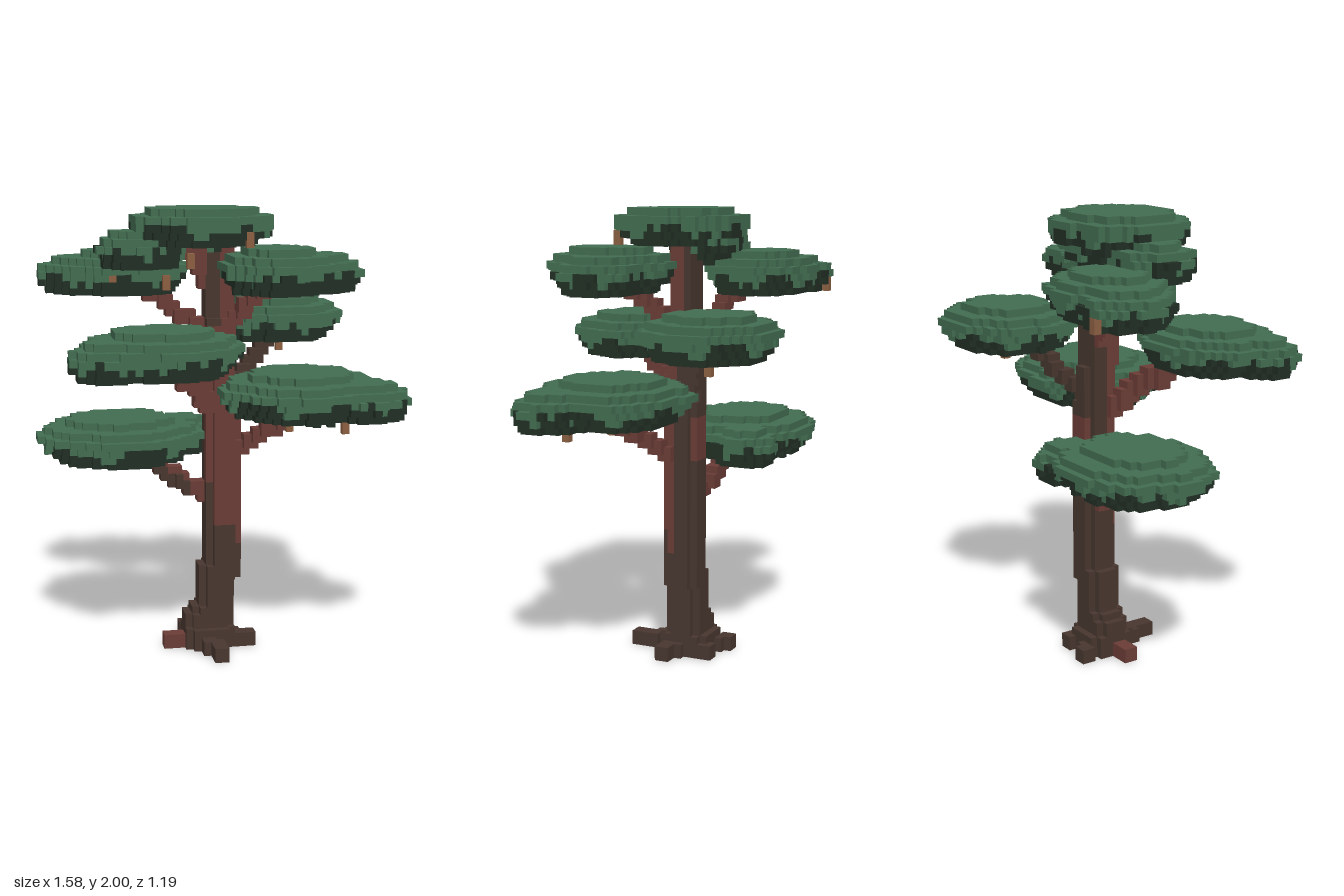
import * as THREE from 'three';

const V = 2 / 62; // edge of one cube; cube (0, 0, 0) is centred on x = z = 0 and rests on the ground

function makeMaterial(name, color) {
  const m = new THREE.MeshStandardMaterial({ color });
  m.name = name;
  return m;
}

// One square per exposed cube side: normal, then two in-plane axes with u x v = normal
const SIDES = [
  [[1, 0, 0], [0, 1, 0], [0, 0, 1]], [[-1, 0, 0], [0, 0, 1], [0, 1, 0]],
  [[0, 1, 0], [0, 0, 1], [1, 0, 0]], [[0, -1, 0], [1, 0, 0], [0, 0, 1]],
  [[0, 0, 1], [1, 0, 0], [0, 1, 0]], [[0, 0, -1], [0, 1, 0], [1, 0, 0]],
];
const CORNERS = [[-1, -1], [1, -1], [1, 1], [-1, -1], [1, 1], [-1, 1]];

export function createModel() {
  const materials = {
    leaf: makeMaterial('leafGreen', 0x426c50),
    shade: makeMaterial('undersideGreen', 0x212e24),
    bark: makeMaterial('darkBark', 0x47362e),
    red: makeMaterial('redBark', 0x6a3c36),
    tan: makeMaterial('tanTwig', 0x8a5f42),
  };
  const cubes = new Map();
  const key = (x, y, z) => `${x},${y},${z}`;
  function put(part, color, x, y, z) {
    const k = key(x, y, z);
    if (!cubes.has(k)) cubes.set(k, { part, color, p: [x, y, z] });
  }

  // Bark is redder on the upper front of the trunk; the edge of the red steps down towards +x
  const redFrom = { '-1': 24, 0: 18, 1: 18, 2: 18, 3: 15 };
  function barkColor(x, y, z) {
    if (y > 45) return x >= 1 && z >= -2 ? 'red' : 'bark';
    if (z === -4 && y >= 28 && y <= 33) return 'red';
    return z >= -1 && y >= redFrom[x] ? 'red' : 'bark';
  }

  // Trunk sections: y from, y to, x from, x to, z from, z to
  const trunk = [
    [0, 2, -4, 2, -5, 1], [3, 4, -4, 2, -4, 0], [5, 5, -3, 2, -4, 0],
    [6, 11, -2, 2, -4, 0], [10, 35, -1, 3, -4, 0], [36, 40, -1, 2, -4, 0],
    [41, 46, -1, 2, -3, 0], [47, 56, -1, 2, -3, -1],
  ];
  for (const [y0, y1, x0, x1, z0, z1] of trunk) {
    for (let y = y0; y <= y1; y++) for (let x = x0; x <= x1; x++) for (let z = z0; z <= z1; z++) {
      const corner = (x === x0 || x === x1) && (z === z0 || z === z1);
      if (!(corner && z1 - z0 > 3)) put('trunk', barkColor(x, y, z), x, y, z);
    }
  }

  // Square brush drawn along a line of cubes
  function limb(part, color, a, b, w, h) {
    const n = Math.max(...a.map((v, i) => Math.abs(b[i] - v)));
    for (let i = 0; i <= n; i++) {
      const [x, y, z] = a.map((v, k) => Math.round(v + ((b[k] - v) * i) / n));
      for (let dx = 0; dx < w; dx++) for (let dy = 0; dy < h; dy++) for (let dz = 0; dz < w; dz++) {
        put(part, color, x + dx, y + dy, z + dz);
      }
    }
  }

  // Roots
  limb('roots', 'red', [-5, 0, -2], [-7, 0, -2], 2, 2);
  limb('roots', 'bark', [-2, 0, 1], [-1, 0, 5], 2, 2);
  limb('roots', 'bark', [2, 0, -2], [4, 0, -1], 2, 2);
  limb('roots', 'bark', [-3, 0, -5], [-4, 0, -7], 2, 2);
  limb('roots', 'bark', [1, 0, -5], [1, 0, -6], 2, 2);

  // Branches, each rising to its canopy
  limb('branches', 'bark', [-4, 22, -2], [-11, 27, -4], 1, 2);
  limb('branches', 'red', [-2, 21, -3], [-11, 27, -5], 2, 2);
  limb('branches', 'red', [3, 28, -1], [10, 34, 5], 2, 2);
  limb('branches', 'red', [-2, 34, -1], [-8, 41, 7], 2, 3);
  limb('branches', 'bark', [2, 36, -3], [9, 43, -9], 2, 2);
  limb('branches', 'red', [-2, 44, -3], [-11, 51, -7], 2, 2);
  limb('branches', 'red', [2, 46, -1], [6, 52, 5], 2, 2);
  limb('branches', 'red', [-1, 49, -2], [-4, 56, -1], 2, 3);

  // Hanging twigs, two cubes long: x, top y, z
  const twigs = [
    [9, 33, 5], [16, 33, 8], [11, 42, -10], [-4, 55, 2], [3, 58, 7],
    [-14, 53, -2], [-7, 52, 0], [-19, 51, -15],
  ];
  for (const [x, y, z] of twigs) limb('twigs', 'tan', [x, y, z], [x, y - 1, z], 1, 1);
  for (const x of [12, 14]) put('twigs', 'shade', x, 33, 8);

  // Canopies: layered discs with wavy rims, given as layer radii from the bottom up
  const PAD = [0.77, 0.87, 0.95, 1, 0.89, 0.63];
  const LOBE = [0.82, 0.93, 1, 0.92, 0.65];
  const CROWN = [0.75, 0.95, 1, 1, 0.78];
  const UNDER = [0.65, 0.95, 1];
  function canopy(part, seed, cx, cz, rx, rz, y0, layers) {
    const R = Math.ceil(rx / V) + 2, S = Math.ceil(rz / V) + 2;
    const mx = Math.round(cx / V), mz = Math.round(cz / V);
    layers.forEach((f, k) => {
      for (let x = mx - R; x <= mx + R; x++) for (let z = mz - S; z <= mz + S; z++) {
        const u = (x * V - cx) / rx, w = (z * V - cz) / rz, a = Math.atan2(w, u);
        const wave = Math.sin(a * 5 + seed) * 0.02 + Math.sin(a * 9 + seed * 2.3) * 0.025;
        if (Math.hypot(u, w) > f + wave) continue;
        const fringe = 1.7 + Math.sin(a * 5 + seed * 3) * 0.8 + Math.sin(a * 13 + seed) * 0.5;
        put(part, k < 1 || k < fringe ? 'shade' : 'leaf', x, y0 + k, z);
      }
    });
  }
  const canopies = [
    ['topCanopy', -0.07, 0, 0.305, 0.275, 57, CROWN],
    ['topCanopy', -0.1, -0.1, 0.2, 0.14, 55, UNDER],
    ['topCanopy', -0.33, -0.02, 0.2, 0.16, 54, LOBE],
    ['upperBackCanopy', -0.38, -0.26, 0.29, 0.235, 50, PAD],
    ['upperBackCanopy', -0.57, -0.31, 0.185, 0.19, 50, LOBE],
    ['upperFrontCanopy', 0.22, 0.2, 0.24, 0.27, 51, PAD],
    ['upperFrontCanopy', 0.42, 0.15, 0.175, 0.18, 51, LOBE],
    ['middleBackCanopy', 0.33, -0.32, 0.305, 0.28, 43, PAD],
    ['middleFrontCanopy', -0.29, 0.32, 0.33, 0.275, 41, PAD],
    ['middleFrontCanopy', -0.54, 0.42, 0.15, 0.14, 41, LOBE],
    ['lowerFrontCanopy', 0.35, 0.13, 0.36, 0.33, 34, PAD],
    ['lowerFrontCanopy', 0.6, 0.27, 0.19, 0.16, 34, LOBE],
    ['lowestCanopy', -0.42, -0.16, 0.365, 0.31, 27, PAD],
    ['lowestCanopy', -0.12, -0.29, 0.14, 0.14, 27, LOBE],
  ];
  canopies.forEach(([part, ...size], i) => canopy(part, i + 1, ...size));

  // Collect exposed sides for each part and colour
  const surfaces = new Map();
  for (const { part, color, p } of cubes.values()) {
    const id = `${part}|${color}`;
    if (!surfaces.has(id)) surfaces.set(id, { position: [], normal: [] });
    const s = surfaces.get(id);
    for (const [n, u, v] of SIDES) {
      if (cubes.has(key(p[0] + n[0], p[1] + n[1], p[2] + n[2]))) continue;
      for (const [a, b] of CORNERS) {
        for (let i = 0; i < 3; i++) {
          s.position.push((p[i] + (i === 1 ? 0.5 : 0) + (n[i] + a * u[i] + b * v[i]) / 2) * V);
        }
        s.normal.push(...n);
      }
    }
  }

  const model = new THREE.Group();
  model.name = 'tree';
  const parts = {};
  for (const [id, s] of surfaces) {
    if (!s.position.length) continue;
    const [part, color] = id.split('|');
    if (!parts[part]) {
      parts[part] = new THREE.Group();
      parts[part].name = part;
      model.add(parts[part]);
    }
    const geometry = new THREE.BufferGeometry();
    geometry.setAttribute('position', new THREE.Float32BufferAttribute(s.position, 3));
    geometry.setAttribute('normal', new THREE.Float32BufferAttribute(s.normal, 3));
    const mesh = new THREE.Mesh(geometry, materials[color]);
    mesh.name = `${part} ${materials[color].name}`;
    parts[part].add(mesh);
  }
  return model;
}
